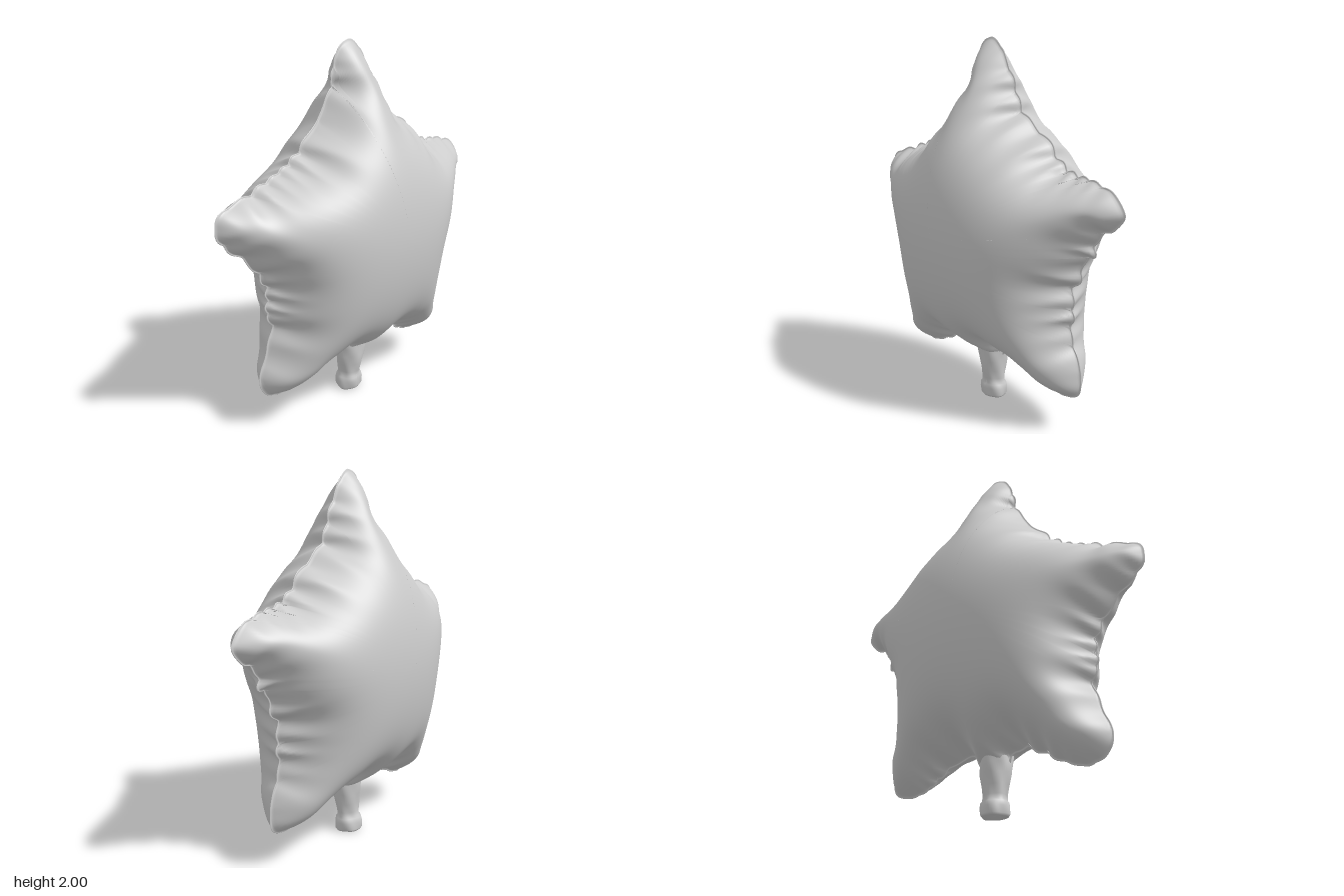
import * as THREE from 'three';

const { smoothstep, lerp } = THREE.MathUtils;
const material = new THREE.MeshStandardMaterial({ color: 0xcccccc, side: THREE.DoubleSide });
const CENTRE = new THREE.Vector2(-0.01, 1.0);
const SAMPLES = 440, RINGS = 48;

// Seam outline of the star, clockwise from the top point
const OUTLINE = [
  [-0.02, 2.0], [0.06, 1.95], [0.10, 1.88], [0.15, 1.80], [0.19, 1.70], [0.27, 1.60],
  [0.42, 1.50], [0.47, 1.44], [0.59, 1.37], [0.71, 1.35], [0.85, 1.30], [0.915, 1.21],
  [0.85, 1.13], [0.76, 1.07], [0.73, 0.97], [0.66, 0.92], [0.65, 0.84], [0.60, 0.77],
  [0.61, 0.65], [0.59, 0.55], [0.61, 0.48], [0.665, 0.33], [0.65, 0.22], [0.56, 0.18],
  [0.43, 0.20], [0.33, 0.26], [0.25, 0.31], [0.14, 0.325], [0.08, 0.27], [-0.01, 0.25],
  [-0.10, 0.27], [-0.14, 0.315], [-0.23, 0.31], [-0.39, 0.23], [-0.55, 0.175], [-0.66, 0.22],
  [-0.69, 0.31], [-0.64, 0.47], [-0.60, 0.57], [-0.63, 0.68], [-0.63, 0.80], [-0.69, 0.92],
  [-0.76, 1.01], [-0.87, 1.10], [-0.92, 1.18], [-0.905, 1.27], [-0.73, 1.34], [-0.48, 1.43],
  [-0.26, 1.62], [-0.17, 1.75], [-0.14, 1.87], [-0.09, 1.97],
];

// Evenly spaced seam points with a pucker strength (1 at a crease, 0 between creases)
function makeSeam() {
  const curve = new THREE.CatmullRomCurve3(OUTLINE.map(([x, y]) => new THREE.Vector3(x, y, 0)), true, 'centripetal');
  const step = curve.getLength() / SAMPLES;
  const base = curve.getSpacedPoints(SAMPLES).slice(0, SAMPLES);
  const seam = base.map((p, i) => {
    const a = (i / SAMPLES) * Math.PI * 2;
    const crease = 1 - Math.abs(Math.sin(a * 27 + 1.3 * Math.sin(a * 7) + 0.9 * Math.sin(a * 11 + 2)));
    const strength = 1 - 0.8 * smoothstep(Math.hypot(p.x - CENTRE.x, p.y - CENTRE.y), 0.78, 0.95);
    const pucker = crease * strength * (0.75 + 0.25 * Math.sin(a * 17));
    // scallop the edge along its normal
    const prev = base[(i + SAMPLES - 1) % SAMPLES], next = base[(i + 1) % SAMPLES];
    const tx = next.x - prev.x, ty = next.y - prev.y;
    const push = (0.006 * strength - 0.028 * pucker) / Math.hypot(tx, ty);
    return { x: p.x - ty * push, y: p.y + tx * push, pucker };
  });
  return { seam, step };
}

// Inflated height: a broad dome rounded off by a smooth distance to the seam,
// and pinched along the creases
function inflate(x, y, seam, step) {
  let near = 0, weight = 0, pinch = 0;
  for (const p of seam) {
    const d2 = Math.max((p.x - x) ** 2 + (p.y - y) ** 2, 1e-6);
    near += step / (d2 * Math.sqrt(d2));
    const w = 1 / (d2 * d2 * d2 * d2);
    weight += w;
    pinch += w * p.pucker;
  }
  const s = Math.max(0, Math.sqrt(2 / near) - 0.01);
  const reach = Math.hypot(x - CENTRE.x, y - CENTRE.y);
  const radius = lerp(1.33, 1.15, smoothstep(y, 0.3, 1.1)); // lower points are plumper
  const dome = 0.447 * (1 - (reach / radius) ** 2) * (1 - Math.exp(-s / 0.09));
  return 0.003 + dome * (1 - 0.55 * (pinch / weight) * Math.exp(-s / 0.14));
}

// One foil panel: rings of scaled outline around the centre
function makePanel(points, side) {
  const positions = [], index = [];
  points.forEach(([x, y, z]) => positions.push(x, y, z * side));
  const tri = (a, b, c) => (side > 0 ? index.push(a, c, b) : index.push(a, b, c));
  const id = (ring, i) => 1 + (ring - 1) * SAMPLES + (i % SAMPLES);
  for (let i = 0; i < SAMPLES; i++) {
    tri(0, id(1, i), id(1, i + 1));
    for (let r = 1; r < RINGS; r++) {
      tri(id(r, i), id(r + 1, i), id(r + 1, i + 1));
      tri(id(r, i), id(r + 1, i + 1), id(r, i + 1));
    }
  }
  const geometry = new THREE.BufferGeometry();
  geometry.setAttribute('position', new THREE.Float32BufferAttribute(positions, 3));
  geometry.setIndex(index);
  geometry.computeVertexNormals();
  return new THREE.Mesh(geometry, material);
}

// Filling neck: a lathe, flattened and crumpled a little, tapering away inside the body
function makeNeck() {
  const profile = [
    [0, 0.025], [0.05, 0.02], [0.068, 0.0], [0.077, 0.012], [0.078, 0.05], [0.074, 0.075], [0.064, 0.085],
    [0.064, 0.11], [0.072, 0.16], [0.083, 0.22], [0.086, 0.27], [0.09, 0.32], [0.088, 0.37], [0.07, 0.43], [0.03, 0.5],
  ].map(([r, y]) => new THREE.Vector2(r, y));
  const geometry = new THREE.LatheGeometry(profile, 48);
  const pos = geometry.attributes.position;
  for (let i = 0; i < pos.count; i++) {
    const x = pos.getX(i), y = pos.getY(i), z = pos.getZ(i);
    const a = Math.atan2(z, x);
    const fold = 1 + 0.05 * Math.sin(3 * a + y * 22) + 0.03 * Math.sin(5 * a - y * 35);
    const lean = -0.012 * (1 - smoothstep(y, 0, 0.2));
    pos.setXYZ(i, x * fold - 0.013, y, z * fold * 0.92 + lean);
  }
  geometry.computeVertexNormals();
  return new THREE.Mesh(geometry, material);
}

export function createModel() {
  const group = new THREE.Group();
  group.name = 'starBalloon';

  const { seam, step } = makeSeam();
  const points = [[CENTRE.x, CENTRE.y, inflate(CENTRE.x, CENTRE.y, seam, step)]];
  for (let r = 1; r <= RINGS; r++) {
    const t = 1 - (1 - r / RINGS) ** 1.5; // rings gather towards the seam
    for (const p of seam) {
      const x = CENTRE.x + (p.x - CENTRE.x) * t;
      const y = CENTRE.y + (p.y - CENTRE.y) * t;
      points.push([x, y, r === RINGS ? 0 : inflate(x, y, seam, step)]);
    }
  }

  const front = makePanel(points, 1);
  front.name = 'frontPanel';
  const back = makePanel(points, -1);
  back.name = 'backPanel';
  const neck = makeNeck();
  neck.name = 'fillingNeck';
  group.add(front, back, neck);
  return group;
}
